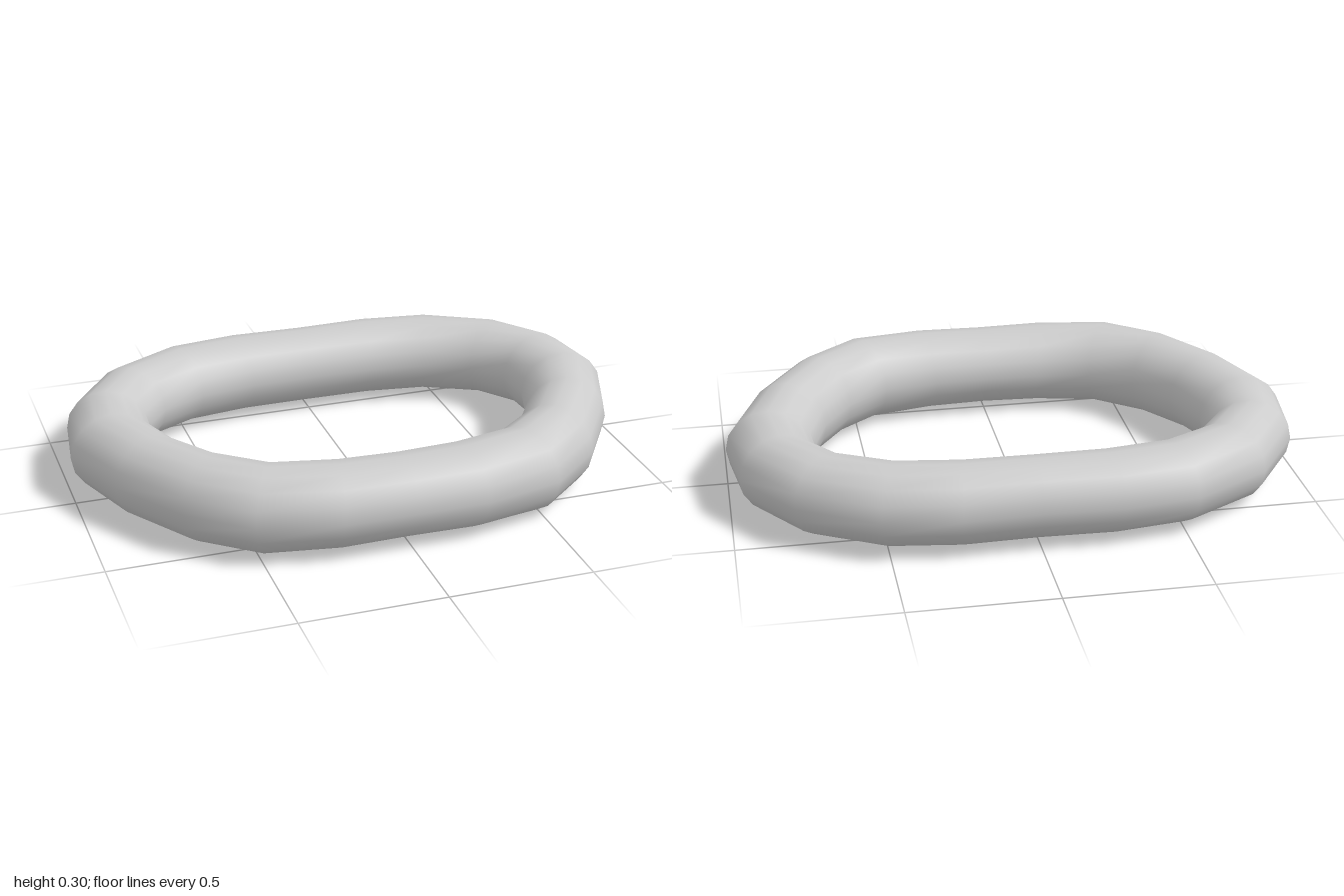
import * as THREE from 'three';

const SIDES = 16;
const CENTRE_Y = 0.151;

// Half of the ring, back centre to front centre:
// outer x, outer z, inner x, inner z, half height
const HALF = [
  [0, -0.715, 0, -0.44, 0.138],
  [0.27, -0.725, 0.23, -0.435, 0.139],
  [0.53, -0.69, 0.435, -0.405, 0.139],
  [0.80, -0.535, 0.595, -0.33, 0.139],
  [0.965, -0.295, 0.685, -0.215, 0.140],
  [1.0, -0.04, 0.695, -0.07, 0.143],
  [0.90, 0.22, 0.635, 0.11, 0.148],
  [0.73, 0.48, 0.53, 0.27, 0.151],
  [0.53, 0.65, 0.385, 0.38, 0.150],
  [0.25, 0.715, 0.19, 0.405, 0.144],
  [0, 0.715, 0, 0.41, 0.140],
];

// Closed loop of oval cross-sections, joined by quads
function ringGeometry(sections) {
  const positions = [], index = [], n = sections.length;
  sections.forEach(([ox, oz, ix, iz, h], i) => {
    for (let j = 0; j < SIDES; j++) {
      const a = (j / SIDES) * Math.PI * 2;
      const t = (1 + Math.cos(a)) / 2;
      positions.push(ix + (ox - ix) * t, CENTRE_Y + h * Math.sin(a), iz + (oz - iz) * t);
      const next = ((i + 1) % n) * SIDES, here = i * SIDES, k = (j + 1) % SIDES;
      index.push(here + j, here + k, next + j, here + k, next + k, next + j);
    }
  });
  const geometry = new THREE.BufferGeometry();
  geometry.setAttribute('position', new THREE.Float32BufferAttribute(positions, 3));
  geometry.setIndex(index);
  geometry.computeVertexNormals();
  return geometry;
}

export function createModel() {
  const group = new THREE.Group();
  group.name = 'ovalRing';

  // Mirror the half to close the loop
  const mirrored = HALF.slice(1, -1).reverse().map(([ox, oz, ix, iz, h]) => [-ox, oz, -ix, iz, h]);
  const ring = new THREE.Mesh(
    ringGeometry([...HALF, ...mirrored]),
    new THREE.MeshStandardMaterial({ color: 0xcccccc })
  );
  ring.name = 'ring';
  group.add(ring);
  return group;
}
